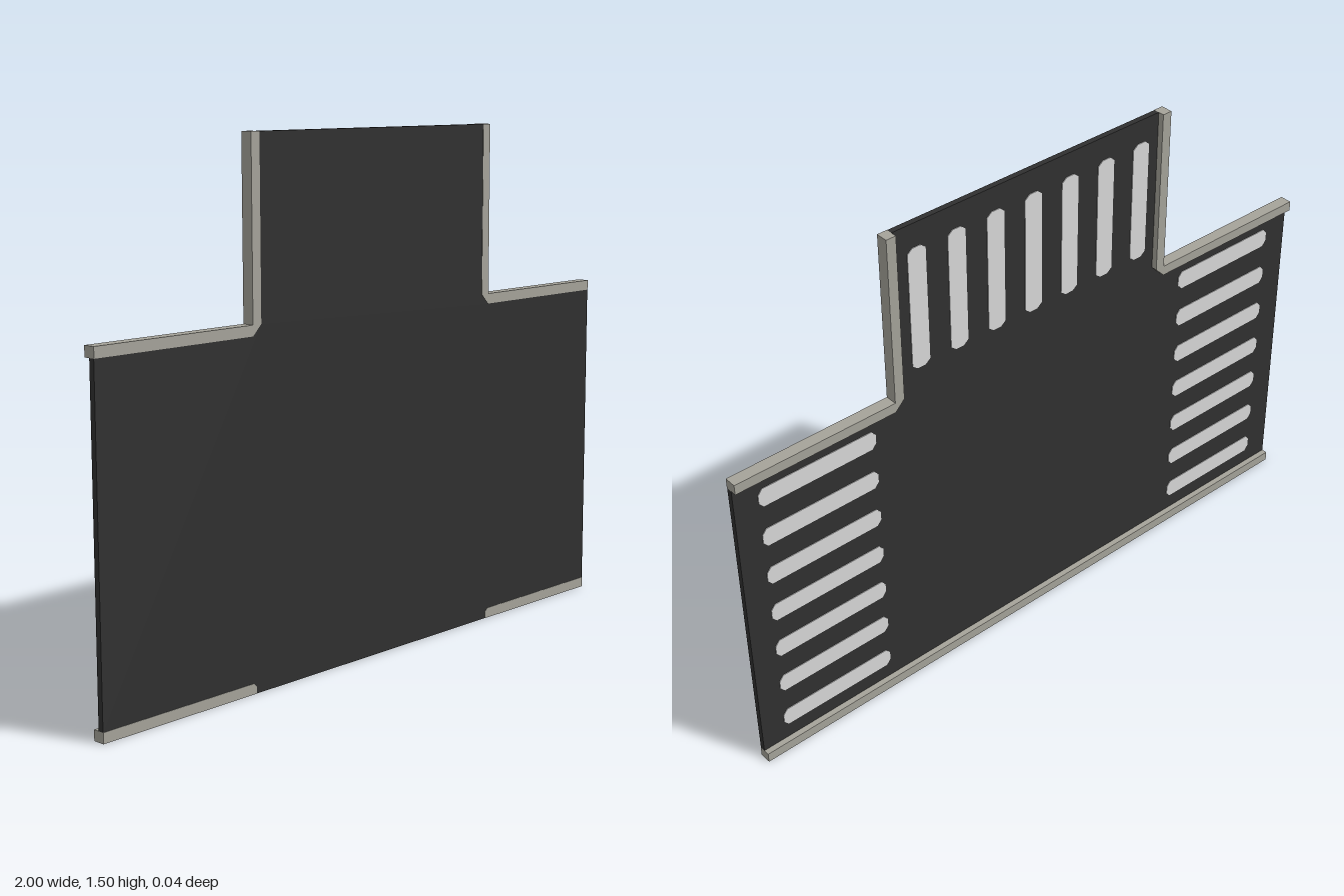
import * as THREE from 'three';

const mat = (name, color) => Object.assign(new THREE.MeshStandardMaterial({ color }), { name });

// Flat outline extruded from z0 to z1
function slab(name, points, z0, z1, material) {
  const shape = new THREE.Shape(points.map(([x, y]) => new THREE.Vector2(x, y)));
  const geo = new THREE.ExtrudeGeometry(shape, { depth: z1 - z0, bevelEnabled: false });
  geo.translate(0, 0, z0);
  const mesh = new THREE.Mesh(geo, material);
  mesh.name = name;
  return mesh;
}

export function createModel() {
  const asphalt = mat('asphalt', 0x303030);
  const stone = mat('kerbStone', 0xa5a39a);
  const paint = mat('roadPaint', 0xd8d8d8);

  const model = new THREE.Group();
  model.name = 'roadJunction';

  const D = 0.018;          // half depth
  const K = 0.03;           // kerb width
  const L = -0.47, R = 0.5; // outer sides of the stem

  // Road surface: T-shaped slab, set inside the kerbs
  model.add(slab('roadSurface', [
    [-1, K], [L - 0.01, K], [L, K - 0.01], [L, 0], [R, 0], [R, K - 0.01], [R + 0.01, K], [1, K],
    [1, 1 - K], [R, 1 - K], [R - K, 1], [R - K, 1.5],
    [L + K, 1.5], [L + K, 1], [L, 1 - K], [-1, 1 - K],
  ], 0, D - 0.001, asphalt));

  // Corner kerbs wrapping from each arm up the stem
  model.add(slab('cornerKerbRight', [
    [-1, 1 - K], [L, 1 - K], [L + K, 1], [L + K, 1.5], [L, 1.5], [L, 1], [-1, 1],
  ], -D, D, stone));
  model.add(slab('cornerKerbLeft', [
    [1, 1 - K], [1, 1], [R, 1], [R, 1.5], [R - K, 1.5], [R - K, 1], [R, 1 - K],
  ], -D, D, stone));

  // Straight kerb: raised along the full length, deep only beside the arms
  model.add(slab('straightKerb', [[-1, 0], [1, 0], [1, K], [-1, K]], -D, 0, stone));
  model.add(slab('kerbFootRight', [
    [-1, 0], [L, 0], [L, K - 0.01], [L - 0.01, K], [-1, K],
  ], 0, D, stone));
  model.add(slab('kerbFootLeft', [
    [R, 0], [1, 0], [1, K], [R + 0.01, K], [R, K - 0.01],
  ], 0, D, stone));

  // Crossing stripes with rounded ends, painted on the back
  const h = 0.185, r = 0.029, c = r * 0.45;
  const outline = [
    [-h + c, -r], [h - c, -r], [h, -c], [h, c], [h - c, r], [-h + c, r], [-h, c], [-h, -c],
  ];
  const addStripe = (name, x, y, turn) => {
    const stripe = slab(name, outline, -0.002, 0.001, paint);
    stripe.position.set(x, y, 0);
    stripe.rotation.z = turn;
    model.add(stripe);
  };
  for (let i = -3; i <= 3; i++) {
    addStripe('leftArmStripe', 0.742, 0.505 + i * 0.1325, 0);
    addStripe('rightArmStripe', -0.735, 0.505 + i * 0.1325, 0);
    addStripe('stemStripe', 0.01 + i * 0.129, 1.245, Math.PI / 2);
  }
  return model;
}
